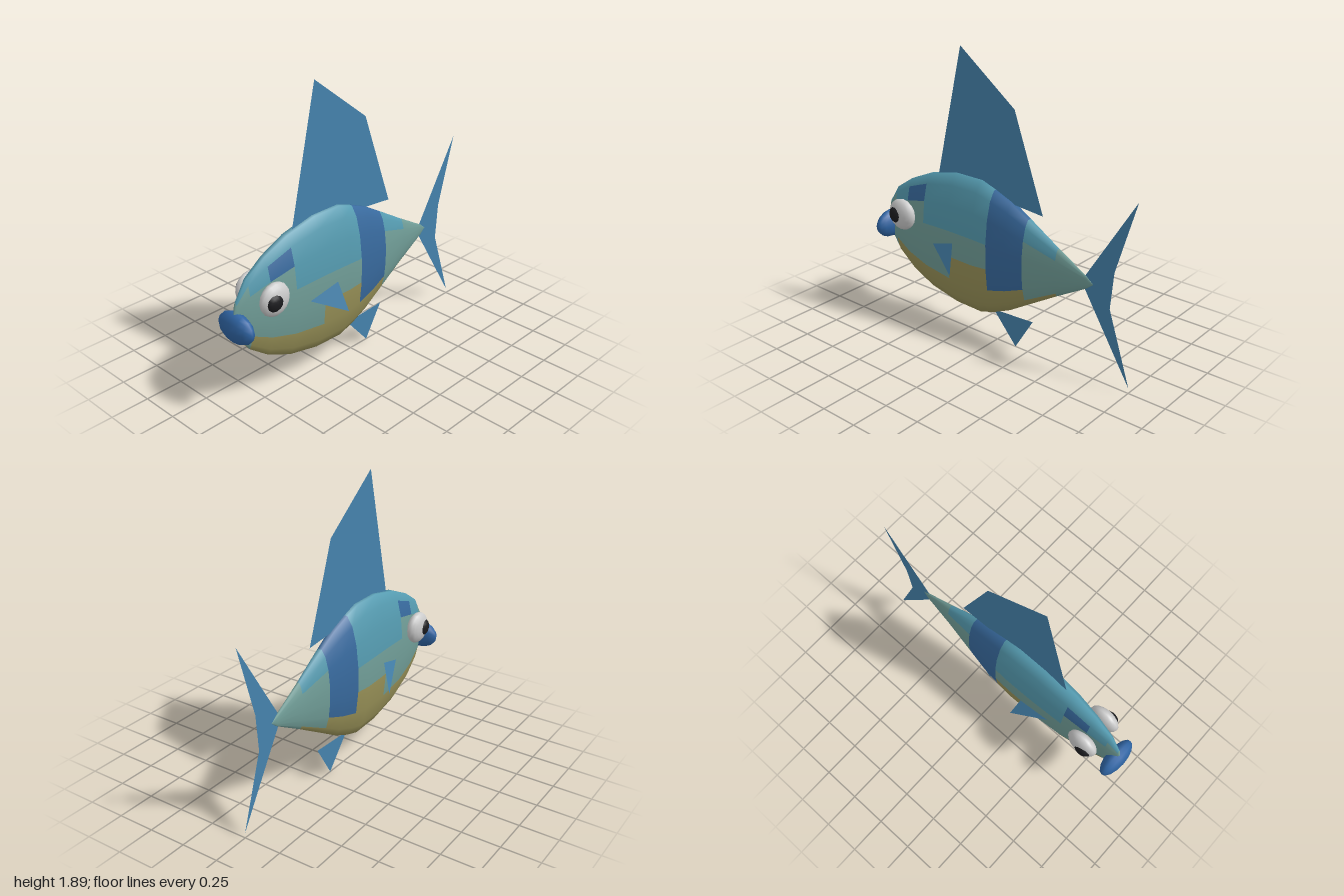
import * as THREE from 'three';

const paint = (color, side = THREE.FrontSide) => new THREE.MeshStandardMaterial({ color, side });

// Body: elliptical rings from nose to tail, given as [z, top, bottom, half width]
const RINGS = [
  [0.96, 0.625, 0.625, 0], [0.935, 0.74, 0.51, 0.02], [0.855, 0.86, 0.4, 0.046],
  [0.72, 0.95, 0.3, 0.074], [0.55, 1.025, 0.225, 0.098], [0.33, 1.075, 0.178, 0.112],
  [0.12, 1.075, 0.172, 0.115], [0.01, 1.038, 0.205, 0.108], [-0.12, 0.985, 0.262, 0.096],
  [-0.25, 0.91, 0.34, 0.075], [-0.47, 0.78, 0.47, 0.038], [-0.68, 0.662, 0.588, 0.01],
  [-0.725, 0.625, 0.625, 0],
];
const SIDES = 16;

function makeBody() {
  const pos = [];
  const step = (Math.PI * 2) / SIDES;
  const grow = 1 / Math.cos(step / 2);
  for (const [z, top, bottom, w] of RINGS) {
    for (let j = 0; j < SIDES; j++) {
      const a = (j + 0.5) * step;
      pos.push(w * Math.sin(a), (top + bottom) / 2 + ((top - bottom) / 2) * grow * Math.cos(a), z);
    }
  }
  // Sort the faces into back, flank, belly and dark markings
  const zones = [[], [], [], []];
  for (let i = 0; i < RINGS.length - 1; i++) {
    for (let j = 0; j < SIDES; j++) {
      const k = (j + 1) % SIDES;
      const a = i * SIDES + j, b = i * SIDES + k, c = a + SIDES, d = b + SIDES;
      const y = [a, b, c, d].reduce((sum, v) => sum + pos[v * 3 + 1] / 4, 0);
      const band = (i === 7 || i === 8) && y > 0.4;
      const brow = i === 3 && y > 0.8 && y < 0.92;
      const zone = band || brow ? 3 : y > 0.78 ? 0 : y > 0.46 ? 1 : 2;
      if (i > 0) zones[zone].push(a, b, c);
      else zones[zone].push(a, d, c);
      if (i > 0 && i < RINGS.length - 2) zones[zone].push(b, d, c);
    }
  }
  const geo = new THREE.BufferGeometry();
  geo.setAttribute('position', new THREE.Float32BufferAttribute(pos, 3));
  geo.setIndex(zones.flat());
  geo.computeVertexNormals();
  let start = 0;
  zones.forEach((z, n) => {
    geo.addGroup(start, z.length, n);
    start += z.length;
  });
  const mesh = new THREE.Mesh(geo, [0x559bb0, 0x719e98, 0x999258, 0x386a9e].map((c) => paint(c)));
  mesh.name = 'body';
  return mesh;
}

// Thin fin in the middle plane, outlined by [z, y] points
function flatFin(name, points, material) {
  const geo = new THREE.ShapeGeometry(new THREE.Shape(points.map(([z, y]) => new THREE.Vector2(z, y))));
  geo.rotateY(-Math.PI / 2);
  const mesh = new THREE.Mesh(geo, material);
  mesh.name = name;
  return mesh;
}

function ellipsoid(name, center, radii, material, segments, rings) {
  const geo = new THREE.SphereGeometry(1, segments, rings);
  geo.rotateZ(-Math.PI / 2); // poles point sideways
  geo.scale(...radii);
  const mesh = new THREE.Mesh(geo, material);
  mesh.name = name;
  mesh.position.set(...center);
  return mesh;
}

export function createModel() {
  const fish = new THREE.Group();
  fish.name = 'fish';
  const finPaint = paint(0x4583ad, THREE.DoubleSide);
  const white = paint(0xe6e6e6);
  const black = paint(0x1c1c1f);

  fish.add(makeBody());
  fish.add(ellipsoid('mouth', [0, 0.578, 0.935], [0.142, 0.099, 0.061], paint(0x2f64a3), 12, 8));

  // Middle fins
  fish.add(flatFin('dorsalFin', [[0.49, 1.03], [0.29, 1.89], [-0.13, 1.57], [-0.35, 0.955]], finPaint));
  fish.add(flatFin('tailFin',
    [[-0.64, 0.625], [-1, 1.21], [-0.865, 0.745], [-0.845, 0.507], [-1, 0.035]], finPaint));
  fish.add(flatFin('analFin', [[0.03, 0.21], [-0.285, 0.225], [-0.15, 0.003]], finPaint));

  // Eyes and side fins, mirrored
  for (const [s, side] of [[1, 'left'], [-1, 'right']]) {
    const eye = new THREE.Group();
    eye.name = side + 'Eye';
    eye.add(ellipsoid('eyeball', [s * 0.104, 0.72, 0.732], [0.053, 0.107, 0.107], white, 16, 10));
    eye.add(ellipsoid('pupil', [s * 0.13, 0.72, 0.757], [0.039, 0.06, 0.06], black, 12, 8));
    fish.add(eye);

    const geo = new THREE.BufferGeometry().setFromPoints([
      new THREE.Vector3(s * 0.108, 0.59, 0.455),
      new THREE.Vector3(s * 0.14, 0.655, 0.255),
      new THREE.Vector3(s * 0.203, 0.462, 0.225),
    ]);
    geo.setIndex(s > 0 ? [0, 2, 1] : [0, 1, 2]);
    geo.computeVertexNormals();
    const fin = new THREE.Mesh(geo, finPaint);
    fin.name = side + 'PectoralFin';
    fish.add(fin);
  }
  return fish;
}
